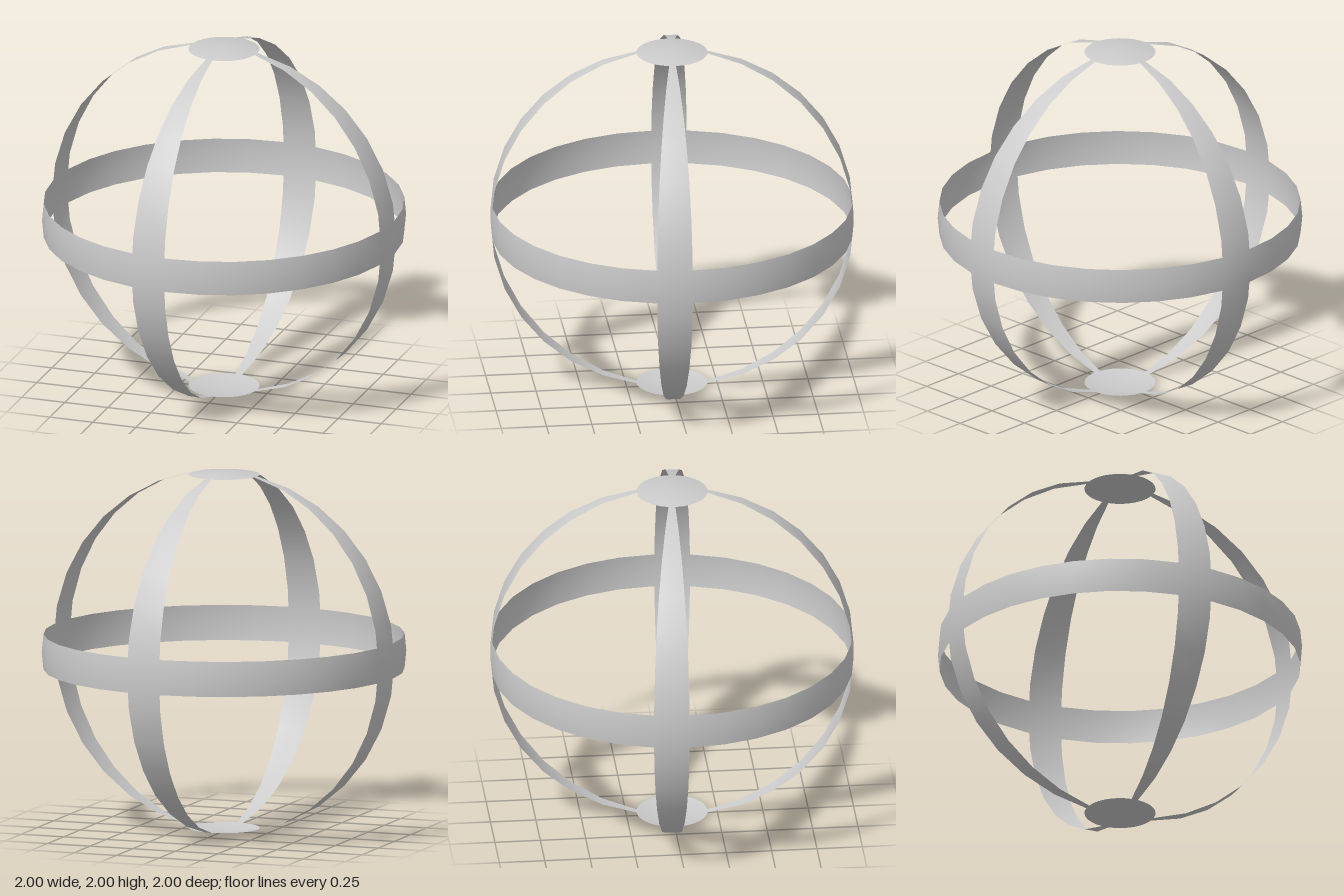
import * as THREE from 'three';

const STEP = Math.PI / 16; // one facet of a 32-sided sphere

// Profile point on the unit sphere; half rows fall on the flat facet between two rows
function profilePoint(row) {
  const at = (n) => new THREE.Vector2(Math.max(0, Math.cos(n * STEP)), Math.sin(n * STEP));
  const low = Math.floor(row);
  return at(low).lerp(at(low + 1), row - low);
}

// Faceted piece of the sphere shell with smooth spherical normals
function shell(name, rows, segments, phiStart, phiLength, material) {
  const geometry = new THREE.LatheGeometry(rows.map(profilePoint), segments, phiStart, phiLength);
  const p = geometry.attributes.position;
  const v = new THREE.Vector3();
  for (let i = 0; i < p.count; i++) {
    v.fromBufferAttribute(p, i).normalize();
    geometry.attributes.normal.setXYZ(i, v.x, v.y, v.z);
  }
  const mesh = new THREE.Mesh(geometry, material);
  mesh.name = name;
  mesh.position.y = 1;
  return mesh;
}

export function createModel() {
  const group = new THREE.Group();
  group.name = 'bandedSphere';
  const material = new THREE.MeshStandardMaterial({ color: 0xcccccc, side: THREE.DoubleSide });

  // Band around the equator
  group.add(shell('equatorBand', [-0.5, 0, 0.5], 32, 0, Math.PI * 2, material));

  // Shallow caps at both poles
  group.add(shell('topCap', [7, 8], 32, 0, Math.PI * 2, material));
  group.add(shell('bottomCap', [-8, -7], 32, 0, Math.PI * 2, material));

  // Four tapering ribs, each one facet wide, from the band to the caps
  const upperRows = [0.5, 1, 2, 3, 4, 5, 6, 7];
  const lowerRows = upperRows.map((r) => -r).reverse();
  for (let k = 0; k < 4; k++) {
    const phi = k * Math.PI / 2 - STEP;
    group.add(shell('upperRib' + (k + 1), upperRows, 1, phi, STEP, material));
    group.add(shell('lowerRib' + (k + 1), lowerRows, 1, phi, STEP, material));
  }
  return group;
}
